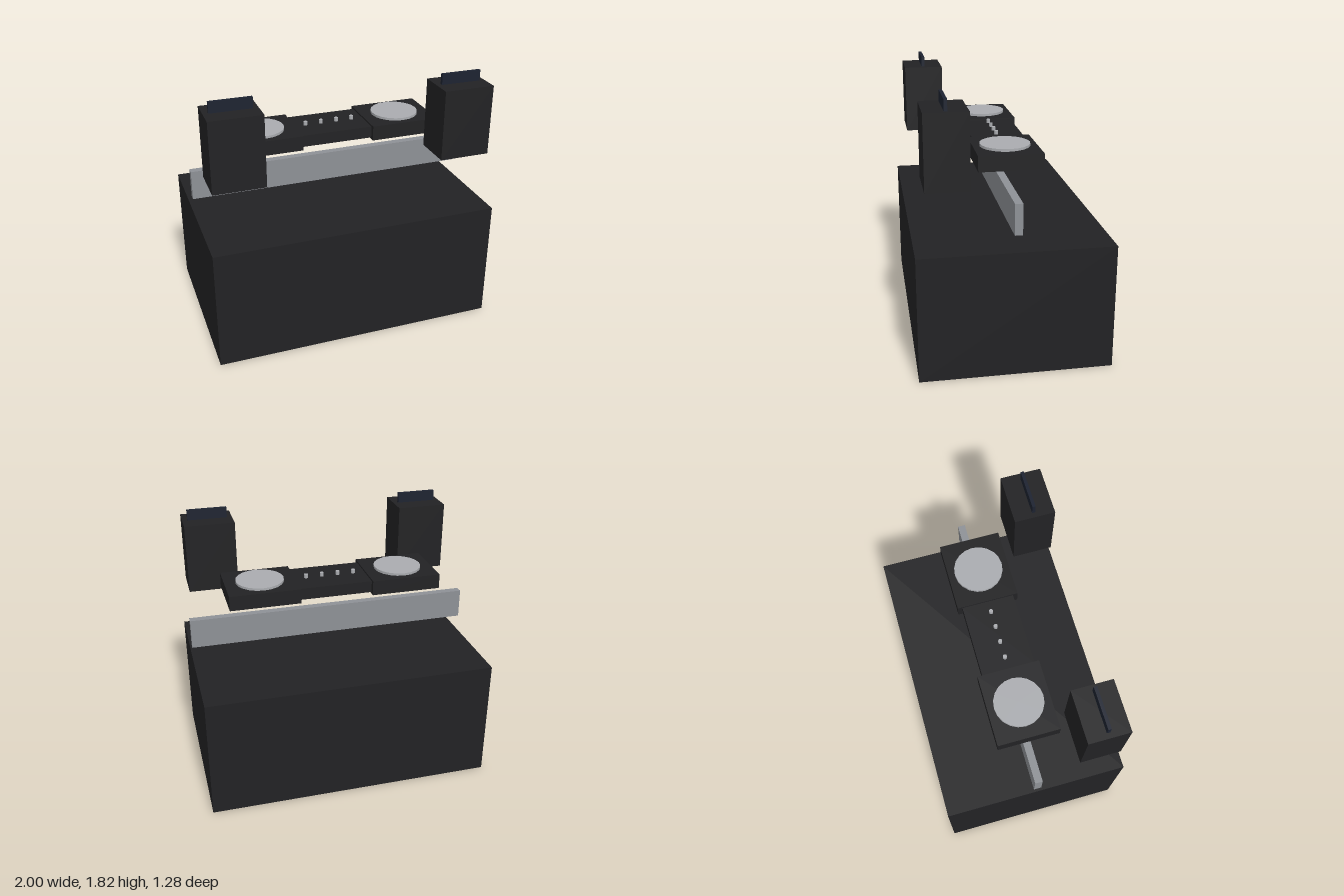
import * as THREE from 'three';

const mat = (color) => new THREE.MeshStandardMaterial({ color });

export function createModel() {
  const model = new THREE.Group();
  model.name = 'djBooth';
  const black = mat(0x222224);
  const navy = mat(0x1c2230);
  const steel = mat(0x8e9196);
  const silver = mat(0xaaacb0);

  const add = (name, geometry, material, x, y, z) => {
    const mesh = new THREE.Mesh(geometry, material);
    mesh.name = name;
    mesh.position.set(x, y, z);
    model.add(mesh);
  };
  // Box given by its centre in x and z and its bottom and top heights
  const box = (name, material, x, z, width, depth, bottom, top) =>
    add(name, new THREE.BoxGeometry(width, top - bottom, depth), material, x, (bottom + top) / 2, z);

  // Booth and the rail above it
  box('booth', black, 0, 0, 2, 1.28, 0, 0.855);
  box('rail', steel, 0, 0, 2, 0.052, 0.97, 1.176);

  // Mixer with a row of knobs
  box('mixer', black, 0, 0, 0.514, 0.36, 1.318, 1.4);
  for (let i = 0; i < 4; i++) {
    add('knob', new THREE.CylinderGeometry(0.014, 0.014, 0.028, 12), silver, (i - 1.5) * 0.114, 1.413, 0);
  }

  for (const [side, s] of [['left', 1], ['right', -1]]) {
    // Turntable with its platter
    box(side + 'Deck', black, s * 0.5, 0, 0.49, 0.425, 1.307, 1.411);
    add(side + 'Platter', new THREE.CylinderGeometry(0.168, 0.168, 0.02, 20), silver, s * 0.5, 1.418, 0);

    // Speaker with the upright handle on top
    box(side + 'Speaker', black, s * 0.785, 0.43, 0.352, 0.28, 1.256, 1.746);
    box(side + 'SpeakerHandle', navy, s * 0.785, 0.43, 0.28, 0.022, 1.73, 1.82);
  }
  return model;
}
